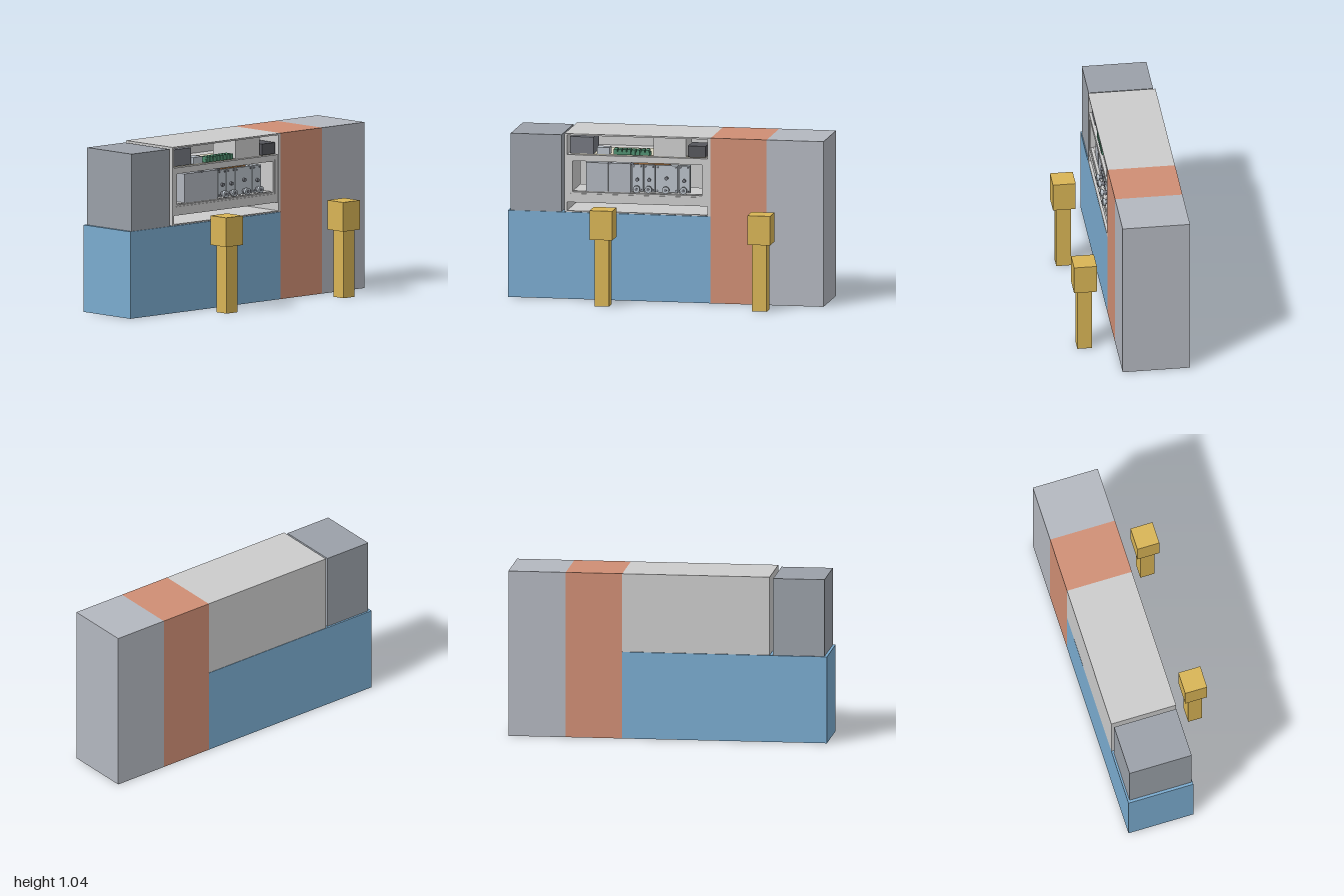
import * as THREE from 'three';

const mat = (color) => new THREE.MeshStandardMaterial({ color });
const M = {
  blue: mat(0x7aabcf), orange: mat(0xcf8e74), side: mat(0xb3b7bf), cabinet: mat(0x9aa0a8),
  shell: mat(0xc2c5c5), gold: mat(0xd8b455), dark: mat(0x55565c), slate: mat(0x74777f),
  green: mat(0x4f9070), cream: mat(0xdcd6c0), brown: mat(0x9a6a3c), tank: mat(0xb0b5bd), steel: mat(0xb8c0c8),
};

export function createModel() {
  const root = new THREE.Group();

  // Box given by its lower and upper corners
  const box = (name, m, x0, x1, y0, y1, z0, z1, parent = root) => {
    const mesh = new THREE.Mesh(new THREE.BoxGeometry(x1 - x0, y1 - y0, z1 - z0), m);
    mesh.position.set((x0 + x1) / 2, (y0 + y1) / 2, (z0 + z1) / 2);
    mesh.name = name;
    parent.add(mesh);
    return mesh;
  };
  // Cylinder lying along z
  const rod = (name, m, x, y, z0, z1, r, parent) => {
    const mesh = new THREE.Mesh(new THREE.CylinderGeometry(r, r, z1 - z0, 20).rotateX(Math.PI / 2), m);
    mesh.position.set(x, y, (z0 + z1) / 2);
    mesh.name = name;
    parent.add(mesh);
  };

  const back = -0.345, front = 0.078;

  // Main blocks
  box('baseBlock', M.blue, -1, 0.285, 0, 0.547, back, front);
  box('middleColumn', M.orange, 0.285, 0.64, 0, 1.043, back, front);
  box('endColumn', M.side, 0.64, 1, 0, 1.043, back, front);
  box('cornerCabinet', M.cabinet, -0.983, -0.661, 0.547, 1.033, -0.333, 0.072);

  // Free-standing posts with square heads
  for (const x of [-0.36, 0.64]) {
    const post = new THREE.Group();
    post.name = 'post';
    box('postShaft', M.gold, x - 0.046, x + 0.046, 0, 0.423, 0.229, 0.321, post);
    box('postHead', M.gold, x - 0.072, x + 0.072, 0.423, 0.607, 0.202, 0.345, post);
    root.add(post);
  }

  // Open-fronted housing
  const housing = new THREE.Group();
  housing.name = 'housing';
  root.add(housing);
  box('housingLeftWall', M.shell, -0.64, -0.625, 0.549, 1.043, back, front, housing);
  box('housingRightWall', M.shell, 0.265, 0.285, 0.549, 1.043, back, front, housing);
  box('housingFloor', M.shell, -0.625, 0.265, 0.549, 0.557, back, front, housing);
  box('housingRoof', M.shell, -0.625, 0.265, 1.033, 1.043, back, front, housing);
  box('housingBack', M.shell, -0.625, 0.265, 0.557, 1.033, back, back + 0.015, housing);
  box('upperShelf', M.shell, -0.625, 0.265, 0.898, 0.91, back + 0.015, 0.062, housing);
  box('lowerShelf', M.shell, -0.625, 0.265, 0.61, 0.622, back + 0.015, 0.062, housing);

  // Front panel with a window
  const rect = (P, x0, x1, y0, y1) => {
    const p = new P();
    p.moveTo(x0, y0); p.lineTo(x1, y0); p.lineTo(x1, y1); p.lineTo(x0, y1); p.closePath();
    return p;
  };
  const frame = (name, x0, x1, y0, y1, hx0, hx1, hy0, hy1, z, depth) => {
    const shape = rect(THREE.Shape, x0, x1, y0, y1);
    shape.holes.push(rect(THREE.Path, hx0, hx1, hy0, hy1));
    const mesh = new THREE.Mesh(new THREE.ExtrudeGeometry(shape, { depth, bevelEnabled: false }), M.shell);
    mesh.position.z = z;
    mesh.name = name;
    housing.add(mesh);
  };
  frame('windowPanel', -0.625, 0.265, 0.61, 0.91, -0.605, 0.24, 0.665, 0.88, 0.06, 0.014);
  frame('windowLiner', -0.605, 0.24, 0.665, 0.88, -0.592, 0.228, 0.675, 0.87, -0.2, 0.268);

  // Tanks and valve blocks behind the window
  box('equipmentTray', M.shell, -0.592, 0.228, 0.668, 0.679, -0.2, 0.05, housing);
  for (const x of [-0.51, -0.367]) {
    box('tank', M.tank, x, x + 0.14, 0.679, 0.86, -0.12, 0.05, housing);
    rod('tankCap', M.slate, x + 0.15, 0.862, 0.02, 0.052, 0.01, housing);
  }
  const valves = [[-0.22, -0.15], [-0.145, -0.075], [-0.07, 0.07], [0.077, 0.147]];
  for (const [x0, x1] of valves) {
    const x = (x0 + x1) / 2;
    const valve = new THREE.Group();
    valve.name = 'valveUnit';
    box('valvePlate', M.steel, x0, x1, 0.685, 0.855, 0.0, 0.045, valve);
    rod('valveStem', M.slate, x, 0.705, 0.045, 0.075, 0.013, valve);
    rod('valveKnob', M.steel, x, 0.705, 0.068, 0.086, 0.022, valve);
    rod('valveHub', M.slate, x, 0.705, 0.086, 0.091, 0.009, valve);
    rod('valveButton', M.slate, x, x1 - x0 > 0.1 ? 0.775 : 0.762, 0.045, 0.06, 0.011, valve);
    for (const dx of [0.012, x1 - x0 - 0.012])
      for (const y of [0.697, 0.843]) rod('plateBolt', M.slate, x0 + dx, y, 0.045, 0.05, 0.006, valve);
    housing.add(valve);
  }
  box('pipeRail', M.brown, -0.215, 0.02, 0.857, 0.868, 0.01, 0.04, housing);

  // Electrical parts in the upper bay
  box('mountingBoard', M.cream, -0.6, 0.25, 0.91, 0.916, -0.22, 0.05, housing);
  box('powerUnit', M.slate, -0.61, -0.46, 0.916, 1.022, -0.12, 0.058, housing);
  box('relay', M.steel, -0.44, -0.36, 0.916, 0.958, -0.01, 0.055, housing);
  box('coverBox', M.shell, -0.08, 0.125, 0.912, 1.032, -0.15, 0.055, housing);
  box('breaker', M.dark, 0.138, 0.25, 0.916, 0.987, -0.08, 0.066, housing);
  box('terminalBase', M.green, -0.335, -0.105, 0.916, 0.936, 0.0, 0.06, housing);
  for (let i = 0; i < 8; i++) {
    const x = -0.333 + i * 0.0288;
    box('terminal', M.green, x, x + 0.022, 0.92, 0.951, 0.005, 0.064, housing);
  }
  return root;
}
